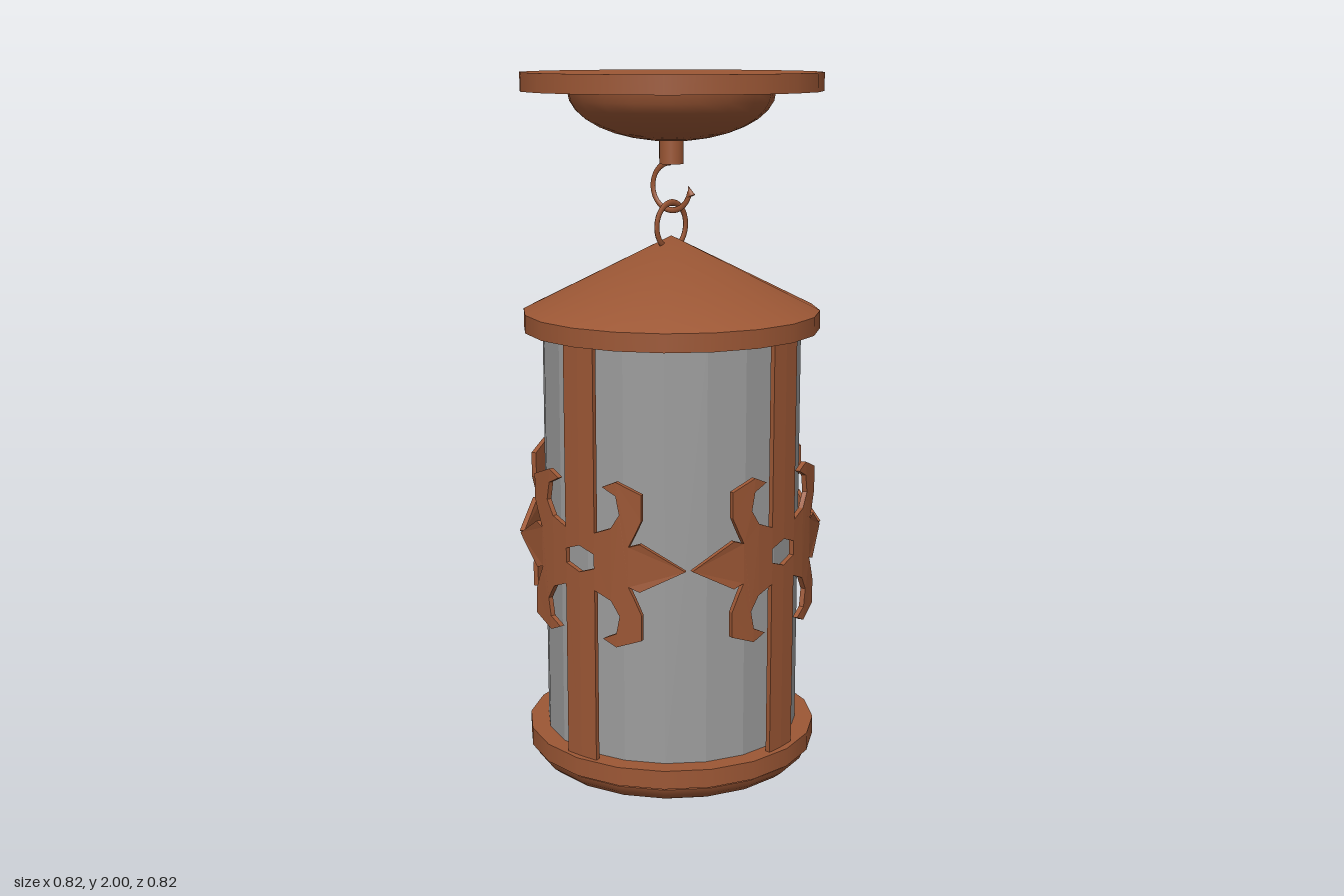
import * as THREE from 'three';
import { mergeVertices } from 'three/addons/utils/BufferGeometryUtils.js';

const SIDES = 20;
const copper = new THREE.MeshStandardMaterial({ color: 0x9c5735 });
const copperFlat = new THREE.MeshStandardMaterial({ color: 0x9c5735, flatShading: true });
const glass = new THREE.MeshStandardMaterial({ color: 0x9c9c9c, flatShading: true });

function add(parent, name, geometry, material, y = 0) {
  const mesh = new THREE.Mesh(geometry, material);
  mesh.name = name;
  mesh.position.y = y;
  parent.add(mesh);
  return mesh;
}

// Solid disc or cylinder between two heights
function drum(parent, name, radius, y0, y1, material = copper) {
  const geo = new THREE.CylinderGeometry(radius, radius, y1 - y0, SIDES);
  add(parent, name, geo, material, (y0 + y1) / 2);
}

// Downward-facing half-ellipsoid hanging below height y
function bowl(parent, name, radius, depth, y) {
  const points = [];
  for (let i = 0; i <= 8; i++) {
    const a = (i / 8) * Math.PI / 2;
    points.push(new THREE.Vector2(radius * Math.sin(a), -depth * Math.cos(a)));
  }
  add(parent, name, new THREE.LatheGeometry(points, SIDES), copper, y);
  const lid = add(parent, name + 'Lid', new THREE.CircleGeometry(radius, SIDES), copper, y);
  lid.rotation.x = -Math.PI / 2;
}

// Shallow cone with normals blended over the apex
function roofGeometry(radius, height) {
  const cone = new THREE.ConeGeometry(radius, height, SIDES, 1, true);
  cone.deleteAttribute('normal');
  cone.deleteAttribute('uv');
  const geo = mergeVertices(cone);
  geo.computeVertexNormals();
  return geo;
}

// Half of a strap with its leaf and scrolls, bent gently around the glass
function strapHalfGeometry() {
  const upper = [
    [0, 0.037], [0, 0.59], [0.05, 0.59], [0.05, 0.08],
    [0.1, 0.1], [0.125, 0.14], [0.115, 0.19], [0.075, 0.21], [0.115, 0.228],
    [0.185, 0.2], [0.185, 0.13], [0.165, 0.085], [0.15, 0.055], [0.18, 0.066],
  ];
  const lower = upper.map(([x, y]) => [x, -y]).reverse();
  const outline = [[0.048, 0.02], ...upper, [0.29, 0], ...lower, [0.048, -0.02]];
  const shape = new THREE.Shape(outline.map(([x, y]) => new THREE.Vector2(x, y)));
  const geo = new THREE.ExtrudeGeometry(shape, { depth: 0.014, bevelEnabled: false });
  const pos = geo.attributes.position;
  const bend = 0.56;
  for (let i = 0; i < pos.count; i++) {
    const angle = Math.asin(pos.getX(i) / bend);
    const r = bend + pos.getZ(i);
    pos.setX(i, r * Math.sin(angle));
    pos.setZ(i, 0.378 - bend + r * Math.cos(angle));
  }
  geo.computeVertexNormals();
  return geo;
}

export function createModel() {
  const model = new THREE.Group();
  model.name = 'hangingLantern';

  // Ceiling mount
  const mount = new THREE.Group();
  mount.name = 'ceilingMount';
  model.add(mount);
  drum(mount, 'ceilingPlate', 0.412, 1.95, 2);
  bowl(mount, 'mountDome', 0.283, 0.134, 1.95);
  drum(mount, 'mountStem', 0.033, 1.755, 1.835);

  // Open hook, flattened sideways, with a small pointed tip
  const hookPoints = [];
  for (let i = 0; i <= 20; i++) {
    const t = (i / 20) * Math.PI * 1.45;
    hookPoints.push(new THREE.Vector3(0, 0.065 * Math.cos(t), -0.065 * Math.sin(t)));
  }
  const hookCurve = new THREE.CatmullRomCurve3(hookPoints);
  const hook = add(mount, 'hook', new THREE.TubeGeometry(hookCurve, 40, 0.008, 8), copper, 1.694);
  hook.scale.x = 0.6;
  const tip = add(mount, 'hookTip', new THREE.ConeGeometry(0.013, 0.03, 8), copper, 1.685);
  tip.position.z = 0.064;
  tip.rotation.x = -0.4;
  tip.scale.x = 0.6;

  // Flattened ring and roof
  const ring = add(model, 'hangingRing', new THREE.TorusGeometry(0.063, 0.009, 8, 32), copper, 1.587);
  ring.scale.z = 0.6;
  add(model, 'roof', roofGeometry(0.412, 0.205), copper, 1.4575);
  drum(model, 'roofRim', 0.412, 1.305, 1.355);

  // Glass body and base
  drum(model, 'glassCylinder', 0.36, 0.13, 1.33, glass);
  drum(model, 'baseRim', 0.412, 0.108, 0.16);
  bowl(model, 'baseBowl', 0.4, 0.1, 0.1);

  // Four ornamental straps, each made of two halves
  const half = strapHalfGeometry();
  const otherHalf = half.clone();
  const p = otherHalf.attributes.position;
  // A half turn about the depth axis gives the second half
  for (let i = 0; i < p.count; i++) p.setXY(i, -p.getX(i), -p.getY(i));
  otherHalf.computeVertexNormals();
  // Outward offset of the front, left, back and right straps
  [0, 0.011, 0.004, 0.002].forEach((offset, i) => {
    const strap = new THREE.Group();
    strap.name = 'ornamentalStrap' + (i + 1);
    strap.rotation.y = (i * Math.PI) / 2;
    strap.position.set(Math.sin(strap.rotation.y) * offset, 0, Math.cos(strap.rotation.y) * offset);
    add(strap, 'strapLeftHalf', half, copperFlat, 0.727);
    add(strap, 'strapRightHalf', otherHalf, copperFlat, 0.727);
    model.add(strap);
  });
  return model;
}
